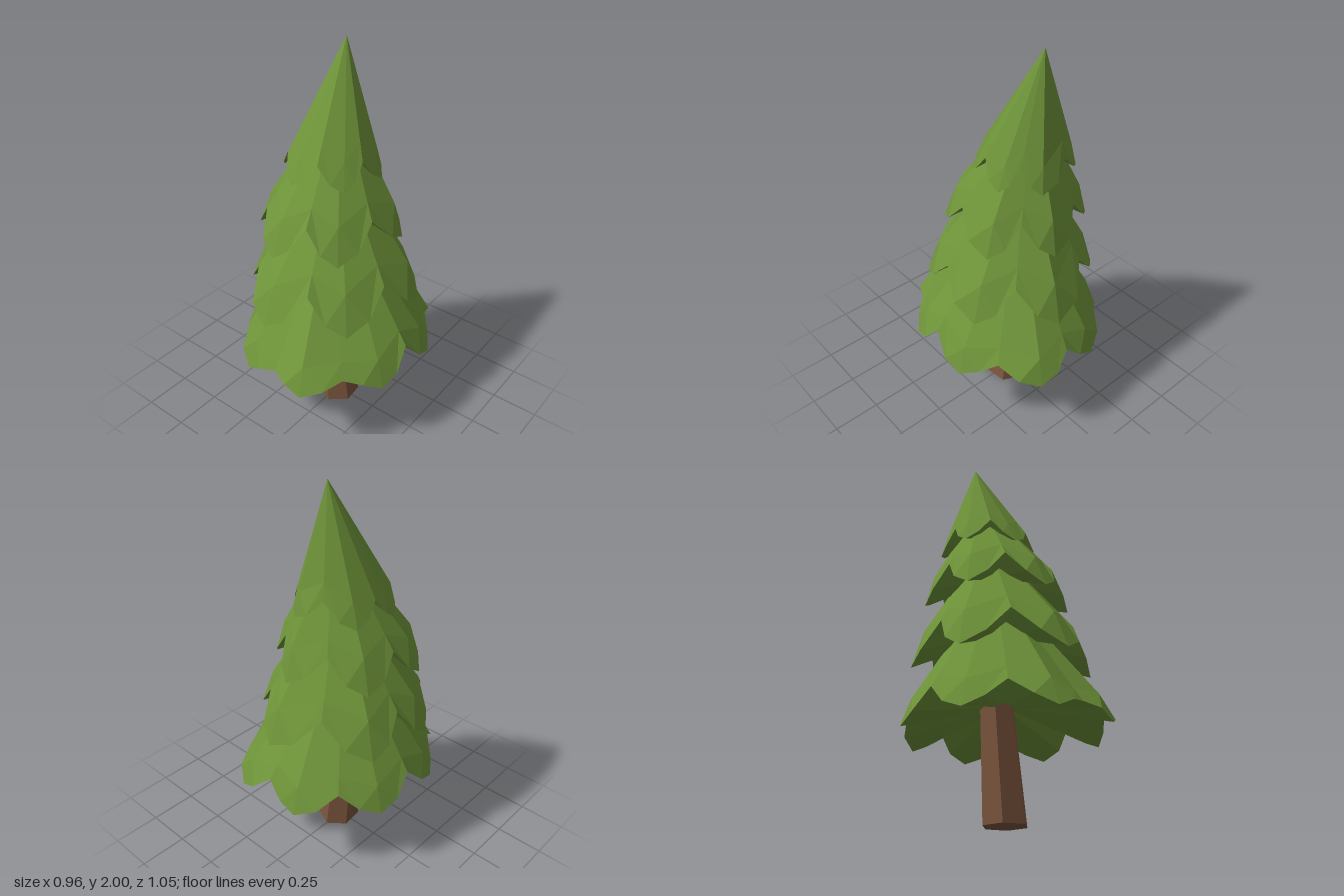
import * as THREE from 'three';

const green = new THREE.MeshStandardMaterial({ color: 0x6e9339, flatShading: true });
const brown = new THREE.MeshStandardMaterial({ color: 0x7c563e, flatShading: true });

// Each tier: apex, rim centre, heights of lobe tips and notches, fraction of the cone above the flare,
// radius of notches and lobe sides relative to the tips,
// and lobes as [angle in degrees, radius, own height of the notch that follows]
const tiers = [
  { apex: [-0.04, 1.25, -0.03], centre: [0, 0], tipY: 0.41, notchY: 0.54, flare: 0.9, notchR: 0.91, sideR: 0.975,
    lobes: [[-67, 0.555, 0.51], [-20, 0.505, 0.56], [25, 0.5, 0.485], [72, 0.545, 0.47],
      [110, 0.54, 0.53], [156, 0.5, 0.55], [204, 0.5, 0.53], [254, 0.525, 0.53]] },
  { apex: [-0.05, 1.5, -0.07], centre: [-0.03, 0.01], tipY: 0.71, notchY: 0.9, flare: 0.85, notchR: 0.83, sideR: 0.95,
    lobes: [[-79, 0.475], [-26, 0.46], [42, 0.44], [96, 0.475], [160, 0.435], [211, 0.44]] },
  { apex: [-0.06, 1.75, -0.11], centre: [-0.06, 0], tipY: 1.05, notchY: 1.22, flare: 0.85, notchR: 0.83, sideR: 0.95,
    lobes: [[-78, 0.375], [-27, 0.38], [44, 0.365], [96, 0.38], [156, 0.355], [214, 0.355]] },
  { apex: [-0.07, 2, -0.16], centre: [-0.07, -0.05], tipY: 1.36, notchY: 1.48, flare: 0.83, notchR: 0.85, sideR: 0.95,
    lobes: [[-66, 0.255], [-18, 0.255], [39, 0.255], [101, 0.255], [160, 0.25], [214, 0.245]] },
];

// A faceted cone with a scalloped rim and a closed underside
function tierGeometry({ apex, centre, tipY, notchY, flare, notchR, sideR, lobes }) {
  const top = new THREE.Vector3(...apex);
  const rim = [], mid = [];
  const rimPoint = (deg, r, y) => {
    const a = THREE.MathUtils.degToRad(deg);
    return new THREE.Vector3(centre[0] + r * Math.cos(a), y, centre[1] + r * Math.sin(a));
  };
  const sideY = tipY + (notchY - tipY) * 0.33;
  lobes.forEach(([a, r, ownNotchY = notchY], i) => {
    const [next, s] = lobes[(i + 1) % lobes.length];
    const b = next < a ? next + 360 : next;
    const tip = rimPoint(a, r, tipY);
    const sideA = rimPoint(a + (b - a) * 0.25, r * sideR, sideY);
    const notch = rimPoint((a + b) / 2, (r + s) / 2 * notchR, ownNotchY);
    const sideB = rimPoint(b - (b - a) * 0.25, s * sideR, sideY);
    rim.push(tip, sideA, notch, sideB);
    const midTip = top.clone().lerp(tip, flare).setY(notchY + 0.01);
    mid.push(midTip, null, top.clone().lerp(notch, flare), null);
  });
  const n = rim.length;
  for (let i = 1; i < n; i += 2) mid[i] = mid[i - 1].clone().lerp(mid[(i + 1) % n], 0.5);

  const under = new THREE.Vector3(centre[0], notchY + 0.02, centre[1]);
  const corners = [];
  for (let i = 0; i < n; i++) {
    const j = (i + 1) % n;
    corners.push(top, mid[j], mid[i]);
    // split each band quad symmetrically about the lobe
    if (i % 2 === 0) corners.push(mid[i], mid[j], rim[j], mid[i], rim[j], rim[i]);
    else corners.push(mid[i], mid[j], rim[i], mid[j], rim[j], rim[i]);
    corners.push(under, rim[i], rim[j]);
  }
  const geometry = new THREE.BufferGeometry().setFromPoints(corners);
  geometry.computeVertexNormals();
  return geometry;
}

export function createModel() {
  const group = new THREE.Group();
  group.name = 'pineTree';

  // Leaning six-sided trunk
  const height = 0.8;
  const trunkGeometry = new THREE.CylinderGeometry(0.08, 0.116, height, 6);
  trunkGeometry.rotateY(0.12);
  trunkGeometry.translate(0, height / 2, -0.003);
  const pos = trunkGeometry.attributes.position;
  for (let i = 0; i < pos.count; i++) {
    pos.setX(i, pos.getX(i) * 0.92 + 0.012 - 0.1 * pos.getY(i));
  }
  const flatTrunk = trunkGeometry.toNonIndexed();
  flatTrunk.computeVertexNormals();
  const trunk = new THREE.Mesh(flatTrunk, brown);
  trunk.name = 'trunk';
  group.add(trunk);

  // Foliage tiers, bottom to top
  tiers.forEach((tier, i) => {
    const mesh = new THREE.Mesh(tierGeometry(tier), green);
    mesh.name = `foliageTier${i + 1}`;
    group.add(mesh);
  });
  return group;
}
